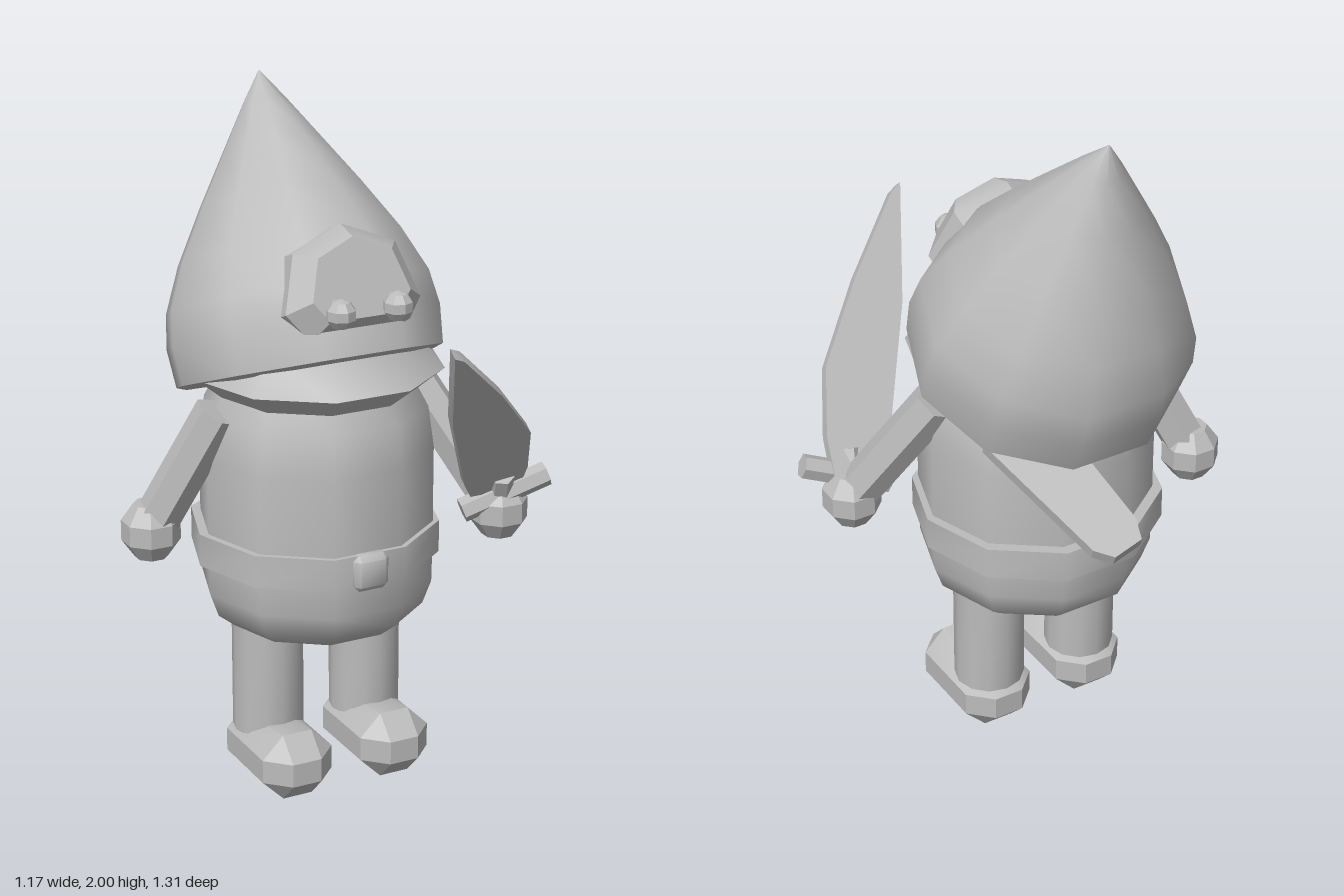
import * as THREE from 'three';
import { toCreasedNormals } from 'three/addons/utils/BufferGeometryUtils.js';
import { ConvexGeometry } from 'three/addons/geometries/ConvexGeometry.js';

const CX = -0.037; // body's own mid plane
const CZ = -0.025;
const TILT = -0.37; // backward lean of the hat and face
const V = (x, y, z) => new THREE.Vector3(x, y, z);

export function createModel() {
  const model = new THREE.Group();
  model.name = 'gnomeWarrior';
  const grey = new THREE.MeshStandardMaterial({ color: 0xbcbcbc });
  grey.name = 'stone grey';

  const add = (name, geometry, pos = [0, 0, 0], crease = 0.8) => {
    const mesh = new THREE.Mesh(toCreasedNormals(geometry, crease), grey);
    mesh.name = name;
    mesh.position.set(...pos);
    model.add(mesh);
    return mesh;
  };

  // Ten-sided turned form with a flat facing forward
  const turned = (profile) =>
    new THREE.LatheGeometry(profile.map((p) => new THREE.Vector2(...p)), 10, Math.PI / 10);

  // Box with every edge and corner cut away
  const chamfered = (a, b, c, k, rule = (p) => p) => {
    const points = [];
    for (const x of [-1, 1]) for (const y of [-1, 1]) for (const z of [-1, 1]) {
      points.push(V(x * a, y * (b - k), z * (c - k)), V(x * (a - k), y * b, z * (c - k)),
        V(x * (a - k), y * (b - k), z * c));
    }
    return new ConvexGeometry(points.map(rule));
  };

  // Straight faceted rod between two points
  const rod = (name, a, b, r, sides) => {
    const dir = b.clone().sub(a);
    const mesh = add(name, new THREE.CylinderGeometry(r, r, dir.length(), sides),
      a.clone().add(b).multiplyScalar(0.5).toArray());
    mesh.quaternion.setFromUnitVectors(V(0, 1, 0), dir.normalize());
    return mesh;
  };

  // Torso and belt
  add('body', turned([[0, 0.48], [0.26, 0.48], [0.31, 0.52], [0.335, 0.59], [0.337, 0.7],
    [0.337, 1.0], [0.32, 1.12], [0.25, 1.25], [0, 1.28]]), [CX, 0, CZ]);
  add('belt', new THREE.CylinderGeometry(0.36, 0.36, 0.095, 10, 1, false, Math.PI / 10),
    [CX, 0.727, CZ - 0.01]);
  add('buckle', chamfered(0.053, 0.053, 0.03, 0.016), [CX, 0.723, 0.3]);

  // Collar: ring with a diamond section
  add('collar', turned([[0.25, 1.14], [0.365, 1.235], [0.29, 1.33], [0.2, 1.24], [0.25, 1.14]]),
    [CX, 0, CZ], 0.7);

  // Pointed hat leaning back
  const hat = add('hat', turned([[0, 0.015], [0.36, 0], [0.388, 0.01], [0.398, 0.12], [0.383, 0.22],
    [0.325, 0.35], [0.235, 0.5], [0.138, 0.65], [0.06, 0.77], [0, 0.855]]), [CX, 1.2, -0.065]);
  hat.rotation.x = TILT;

  // Face: faceted plate lofted from a back outline to a smaller front one
  const outline = [[0, 0.155], [0.155, 0.09], [0.205, -0.07], [0.145, -0.15]];
  const half = [...outline, ...outline.slice(1).reverse().map(([x, y]) => [-x, y])];
  const facePoints = [[1, -0.09], [1, -0.01], [0.72, 0.05]].flatMap(([s, z]) =>
    half.map(([x, y]) => V(x * s, y * s, z)));
  const face = add('face', new ConvexGeometry(facePoints), [CX, 1.53, 0.19], 0.6);
  face.rotation.x = TILT;

  for (const side of [-1, 1]) {
    const label = side > 0 ? 'left' : 'right';

    // Eyes
    add(label + 'Eye', new THREE.SphereGeometry(0.043, 8, 5), [CX + side * 0.086, 1.473, 0.297], 0.3);

    // Legs and chamfered shoes with a lower heel
    const legX = CX + side * 0.157;
    add(label + 'Leg', new THREE.CylinderGeometry(0.103, 0.103, 0.42, 12), [legX, 0.36, CZ]);
    add(label + 'Foot', chamfered(0.11, 0.1, 0.185, 0.065, (p) => {
      if (p.z < 0 && p.y > 0.09) p.y -= 0.03;
      return p;
    }), [legX, 0.1, 0.045], 0.6);

    // Arms: the left reaches forward, the right hangs slightly back
    const shoulder = V(CX + side * 0.31, 1.14, -0.01);
    const hand = side > 0 ? V(0.45, 0.78, 0.177) : V(-0.507, 0.78, -0.125);
    rod(label + 'Arm', shoulder, hand, 0.065, 6);
    const fist = add(label + 'Hand', new THREE.LatheGeometry(
      [[0, -0.08], [0.048, -0.08], [0.084, -0.03], [0.084, 0.03], [0.048, 0.08], [0, 0.08]]
        .map((p) => new THREE.Vector2(...p)), 8), hand.toArray(), 0.3);
    fist.rotation.y = Math.PI / 8;
  }

  // Sword blade: flat outline swung forward from the left hand
  const blade = [[0.34, 0.85], [0.5, 0.85], [0.485, 0.94], [0.42, 1.09], [0.245, 1.265],
    [0.05, 1.43], [0.015, 1.445], [0.13, 1.18], [0.3, 0.9]];
  const bladeShape = new THREE.Shape(blade.map(([x, y]) => new THREE.Vector2(x, (y - 0.88) / 0.79)));
  const bladeGeometry = new THREE.ExtrudeGeometry(bladeShape, { depth: 0.034, bevelEnabled: false });
  bladeGeometry.translate(0, 0, -0.017);
  add('swordBlade', bladeGeometry, [0, 0.88, 0.214], 0.4).rotation.x = 0.66;
  rod('swordGuard', V(0.33, 0.79, 0.175), V(0.57, 0.885, 0.24), 0.036, 6);
  rod('swordGrip', V(0.455, 0.76, 0.165), V(0.425, 0.9, 0.235), 0.035, 6);

  // Scabbard: plate slung from the back, sloping down behind
  const plate = [[-0.11, 0], [0.11, 0], [0.08, 0.42], [0.045, 0.47], [-0.05, 0.47], [-0.08, 0.41]];
  const plateGeometry = new THREE.ExtrudeGeometry(
    new THREE.Shape(plate.map((p) => new THREE.Vector2(...p))),
    { depth: 0.036, bevelEnabled: false });
  plateGeometry.translate(0, 0, -0.018);
  const along = V(-0.1, -0.2, -0.44).normalize();
  const across = V(1, -0.12, 0).addScaledVector(along, -along.x).normalize();
  across.addScaledVector(along, -across.dot(along)).normalize();
  const scabbard = add('scabbard', plateGeometry, [0.145, 1.115, -0.21], 0.4);
  scabbard.quaternion.setFromRotationMatrix(new THREE.Matrix4().makeBasis(
    across, along, across.clone().cross(along)));

  return model;
}
